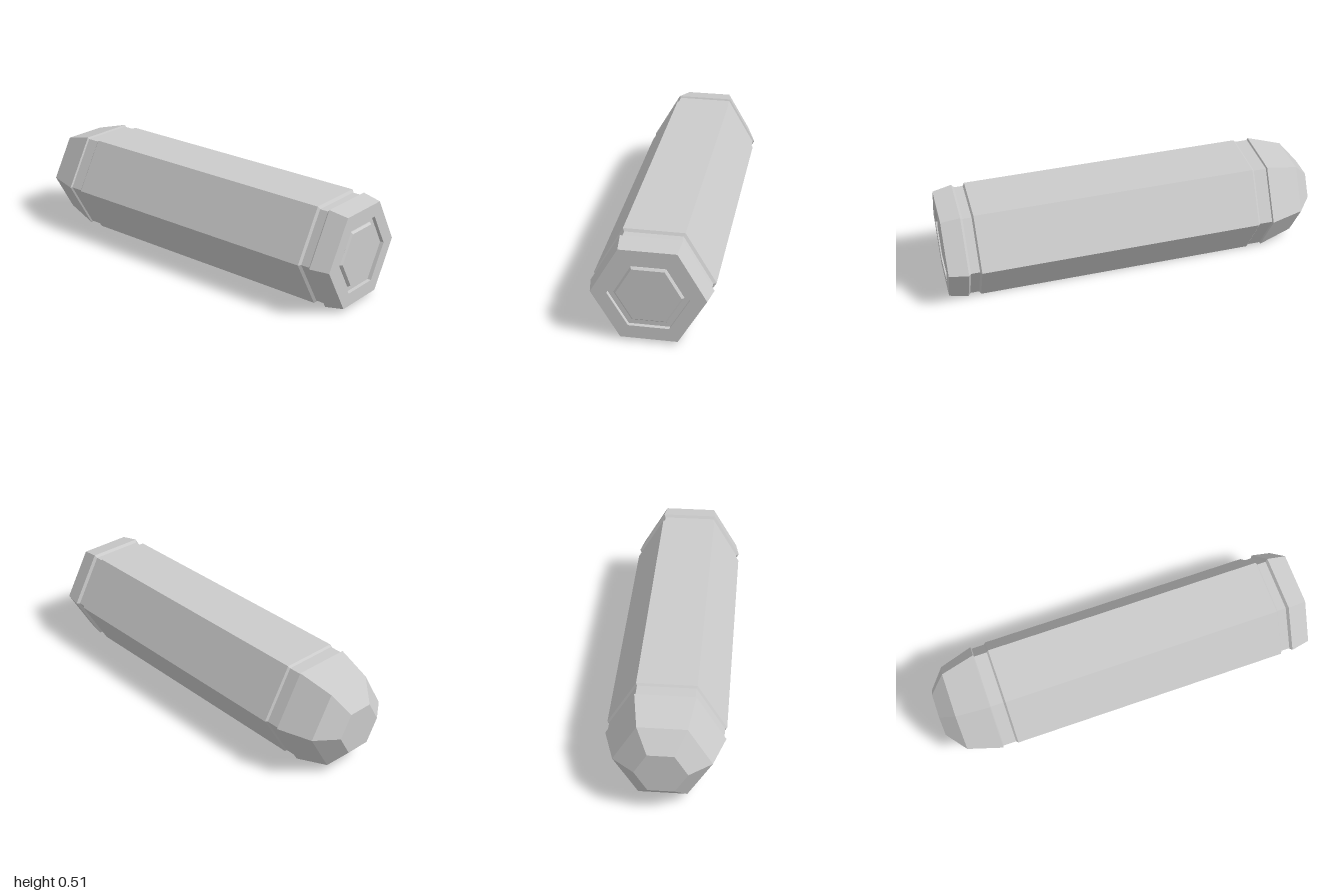
import * as THREE from 'three';

const R = 0.297; // corner radius of the hexagonal body
const material = new THREE.MeshStandardMaterial({ color: 0xcccccc, flatShading: true, side: THREE.DoubleSide });

// Six-sided lathe along z from [z, cornerRadius] pairs, listed back to front
function hexPart(name, profile) {
  const points = profile.map(([z, r]) => new THREE.Vector2(r, z));
  const geometry = new THREE.LatheGeometry(points, 6, Math.PI / 2).rotateX(Math.PI / 2);
  const mesh = new THREE.Mesh(geometry, material);
  mesh.name = name;
  return mesh;
}

export function createModel() {
  const group = new THREE.Group();
  group.name = 'hexagonalCartridge';

  // Faceted tip with its flat end
  group.add(hexPart('tip', [[-1, 0], [-1, 0.13], [-0.915, 0.241], [-0.735, R], [-0.73, 0.287]]));

  // Neck groove between tip and body
  group.add(hexPart('neck', [[-0.73, 0.287], [-0.662, 0.287]]));

  // Long body with small chamfers at both ends
  group.add(hexPart('body', [[-0.662, 0.287], [-0.652, R], [0.833, R], [0.842, 0.282]]));

  // Groove in front of the body
  group.add(hexPart('rimGroove', [[0.842, 0.282], [0.888, 0.282]]));

  // Tapered rim with a shallow pocket in its face
  group.add(hexPart('rim', [[0.888, 0.282], [0.9, R], [1, 0.277], [1, 0.198], [0.98, 0.198], [0.98, 0.167]]));

  // Bevelled button in the pocket
  group.add(hexPart('button', [[0.98, 0.167], [0.985, 0.167], [0.995, 0.157], [0.995, 0]]));

  // Rest the lower flat on the ground
  group.children.forEach((part) => { part.position.y = R * Math.cos(Math.PI / 6); });
  return group;
}
